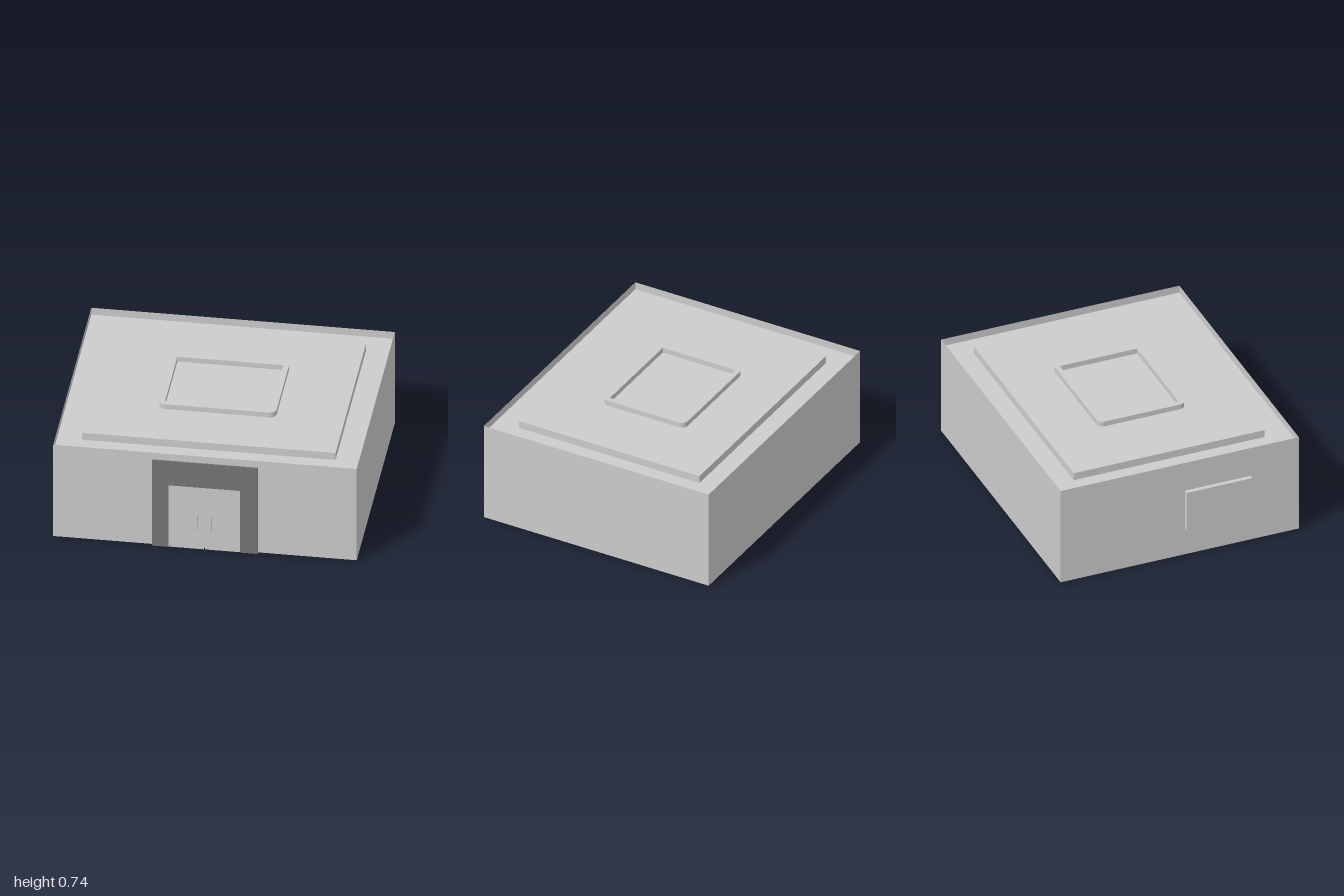
import * as THREE from 'three';

const grey = new THREE.MeshStandardMaterial({ color: 0xcccccc });
const thin = new THREE.MeshStandardMaterial({ color: 0xcccccc, side: THREE.DoubleSide });
const dark = new THREE.MeshStandardMaterial({ color: 0x767676 });

export function createModel() {
  const model = new THREE.Group();

  const add = (name, geometry, material = grey) => {
    const mesh = new THREE.Mesh(geometry, material);
    mesh.name = name;
    model.add(mesh);
    return mesh;
  };

  // Box given by its limits on each axis
  const box = (name, [x0, x1], [y0, y1], [z0, z1], material) => {
    const mesh = add(name, new THREE.BoxGeometry(x1 - x0, y1 - y0, z1 - z0), material);
    mesh.position.set((x0 + x1) / 2, (y0 + y1) / 2, (z0 + z1) / 2);
    return mesh;
  };

  const outline = (Kind, points) => new Kind(points.map(([x, y]) => new THREE.Vector2(x, y)));
  const rectangle = (x0, x1, y0, y1) => [[x0, y0], [x1, y0], [x1, y1], [x0, y1]];
  const extrude = (shape, depth) =>
    new THREE.ExtrudeGeometry(shape, { depth, bevelEnabled: false, curveSegments: 6 });

  // Paper-thin outer walls that rise above the roof as a parapet
  const xs = [-0.97, 0.995], zs = [-0.84, 0.815];
  const cx = (xs[0] + xs[1]) / 2, cz = (zs[0] + zs[1]) / 2;
  const w = xs[1] - xs[0], d = zs[1] - zs[0], floorY = 0.008, topY = 0.7, roofY = 0.648;
  const walls = new THREE.Group();
  walls.name = 'walls';
  model.add(walls);
  for (let i = 0; i < 4; i++) {
    const long = i % 2 === 0;
    const wall = new THREE.Mesh(new THREE.PlaneGeometry(long ? w : d, topY - floorY), thin);
    const a = (i * Math.PI) / 2, reach = (long ? d : w) / 2;
    wall.position.set(cx + Math.sin(a) * reach, (floorY + topY) / 2, cz + Math.cos(a) * reach);
    wall.rotation.y = a;
    wall.name = 'wall';
    walls.add(wall);
  }

  // Underside and recessed roof
  for (const [name, y, turn] of [['underside', floorY, 1], ['roof', roofY, -1]]) {
    const slab = add(name, new THREE.PlaneGeometry(w, d), thin);
    slab.rotation.x = (turn * Math.PI) / 2;
    slab.position.set(cx, y, cz);
  }

  // Raised roof platform
  box('roofPlatform', [-0.807, 0.833], [roofY, topY], [-0.68, 0.647]);

  // Rim on the platform: rounded outside, square inside
  const x0 = -0.367, x1 = 0.392, y0 = -0.287, y1 = 0.32, r = 0.042;
  const rim = new THREE.Shape();
  rim.moveTo(x0 + r, y0);
  rim.absarc(x1 - r, y0 + r, r, -Math.PI / 2, 0);
  rim.absarc(x1 - r, y1 - r, r, 0, Math.PI / 2);
  rim.absarc(x0 + r, y1 - r, r, Math.PI / 2, Math.PI);
  rim.absarc(x0 + r, y0 + r, r, Math.PI, Math.PI * 1.5);
  rim.holes.push(outline(THREE.Path, rectangle(-0.33, 0.355, -0.25, 0.286)));
  const rimMesh = add('roofRim', extrude(rim, 0.036));
  rimMesh.rotation.x = -Math.PI / 2;
  rimMesh.position.y = topY;

  // Dark door surround
  const surround = outline(THREE.Shape, [
    [-0.33, 0], [-0.223, 0], [-0.223, 0.467], [0.242, 0.467],
    [0.242, 0], [0.355, 0], [0.355, 0.65], [-0.33, 0.65],
  ]);
  add('doorSurround', extrude(surround, 0.007), dark).position.z = zs[1];

  // Double doors with bent bar handles
  const mid = 0.01;
  for (const side of [-1, 1]) {
    const edges = [mid + side * 0.003, mid + side * 0.233].sort((a, b) => a - b);
    box(side < 0 ? 'rightDoor' : 'leftDoor', edges, [0.002, 0.467], [zs[1], 0.821]);

    const hx = mid + side * 0.047;
    const p = (y, z) => new THREE.Vector3(hx, y, z);
    const bar = new THREE.CurvePath();
    bar.add(new THREE.LineCurve3(p(0.155, 0.82), p(0.155, 0.83)));
    bar.add(new THREE.QuadraticBezierCurve3(p(0.155, 0.83), p(0.155, 0.838), p(0.163, 0.838)));
    bar.add(new THREE.LineCurve3(p(0.163, 0.838), p(0.262, 0.838)));
    bar.add(new THREE.QuadraticBezierCurve3(p(0.262, 0.838), p(0.27, 0.838), p(0.27, 0.83)));
    bar.add(new THREE.LineCurve3(p(0.27, 0.83), p(0.27, 0.82)));
    add(side < 0 ? 'rightHandle' : 'leftHandle', new THREE.TubeGeometry(bar, 48, 0.0035, 8));
  }

  // Panel on the right wall
  box('wallPanel', [-1, xs[0]], [0.205, 0.49], [0.025, 0.48]);

  // L-shaped strip under the front left corner
  const strip = outline(THREE.Shape, [
    [0.57, -0.8], [0.98, -0.8], [0.98, -0.23], [0.88, -0.23], [0.88, -0.7], [0.57, -0.7],
  ]);
  add('cornerStrip', extrude(strip, 0.007)).rotation.x = -Math.PI / 2;

  return model;
}
